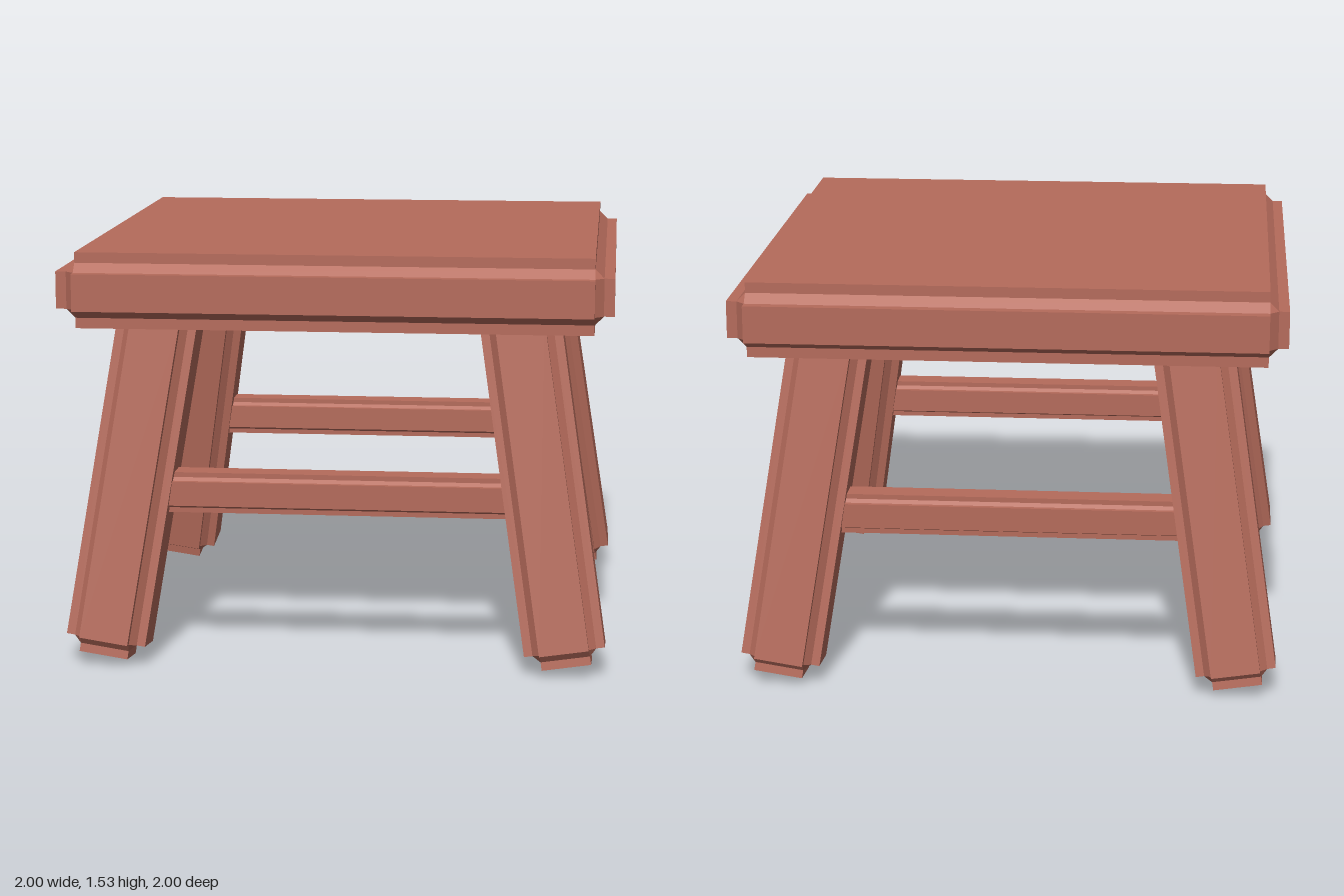
import * as THREE from 'three';

const material = new THREE.MeshStandardMaterial({ color: 0xb56b5b, flatShading: true });

// Box whose edges are cut back by a step, a bevel and a step.
// size: full extents, step: width of the edge cut, core: depth of the step
function steppedBox(size, step, core) {
  const half = size.map((s) => s / 2);
  const positions = [];
  // Point near corner "sign" on the face of axis a, lowered by "drop"
  const point = (a, sign, drop) =>
    new THREE.Vector3(...half.map((h, i) => sign[i] * (h - (i === a ? drop : step))));
  // Triangle fan turned to face along "out"
  const face = (pts, out) => {
    const normal = pts[1].clone().sub(pts[0]).cross(pts[2].clone().sub(pts[0]));
    const p = normal.dot(out) < 0 ? pts.slice().reverse() : pts;
    for (let i = 1; i < p.length - 1; i++) {
      positions.push(...p[0].toArray(), ...p[i].toArray(), ...p[i + 1].toArray());
    }
  };
  const corner = (a, sa, b, sb, c, sc) => {
    const v = [0, 0, 0];
    v[a] = sa; v[b] = sb; v[c] = sc;
    return v;
  };
  const dir = (a, s) => new THREE.Vector3().setComponent(a, s);

  for (let a = 0; a < 3; a++) {
    const b = (a + 1) % 3, c = (a + 2) % 3;
    for (const s of [-1, 1]) {
      // Raised panel and the four walls around it
      const ring = [[-1, -1], [1, -1], [1, 1], [-1, 1]].map(([u, v]) => corner(a, s, b, u, c, v));
      face(ring.map((k) => point(a, k, 0)), dir(a, s));
      ring.forEach((k, i) => {
        const n = ring[(i + 1) % 4];
        const axis = k[b] === n[b] ? b : c;
        face([point(a, k, 0), point(a, n, 0), point(a, n, core), point(a, k, core)], dir(axis, k[axis]));
      });
      // Bevels along the edges shared with the next axis
      for (const t of [-1, 1]) {
        const k = corner(a, s, b, t, c, -1), n = corner(a, s, b, t, c, 1);
        face([point(a, k, core), point(a, n, core), point(b, n, core), point(b, k, core)],
          dir(a, s).add(dir(b, t)));
      }
    }
  }
  // Corner triangles
  for (const x of [-1, 1]) for (const y of [-1, 1]) for (const z of [-1, 1]) {
    const k = [x, y, z];
    face([0, 1, 2].map((a) => point(a, k, core)), new THREE.Vector3(x, y, z));
  }
  const geometry = new THREE.BufferGeometry();
  geometry.setAttribute('position', new THREE.Float32BufferAttribute(positions, 3));
  geometry.computeVertexNormals();
  return geometry;
}

export function createModel() {
  const stool = new THREE.Group();
  stool.name = 'stool';
  const add = (name, geometry, x, y, z) => {
    const mesh = new THREE.Mesh(geometry, material);
    mesh.name = name;
    mesh.position.set(x, y, z);
    stool.add(mesh);
    return mesh;
  };

  // Seat slab
  add('seat', steppedBox([2, 0.275, 2], 0.07, 0.038), 0, 1.392, 0);

  // Four legs splayed along the diagonals
  const length = 1.311, splay = 0.212;
  const legGeometry = steppedBox([0.294, length, 0.294], 0.057, 0.031);
  for (const sz of [1, -1]) {
    for (const sx of [1, -1]) {
      const name = (sz > 0 ? 'front' : 'back') + (sx > 0 ? 'Left' : 'Right') + 'Leg';
      const leg = add(name, legGeometry, 0, 0, 0);
      leg.quaternion.setFromAxisAngle(new THREE.Vector3(-sz, 0, sx).normalize(), splay);
      const up = new THREE.Vector3(0, length / 2, 0).applyQuaternion(leg.quaternion);
      leg.position.set(sx * 0.85, 0.027, sz * 0.85).add(up);
    }
  }

  // Stretchers joining the legs at the front and the back
  const barGeometry = steppedBox([1.42, 0.15, 0.15], 0.03, 0.018);
  for (const sz of [1, -1]) {
    add(sz > 0 ? 'frontStretcher' : 'backStretcher', barGeometry, 0, 0.63, sz * 0.757);
  }
  return stool;
}
